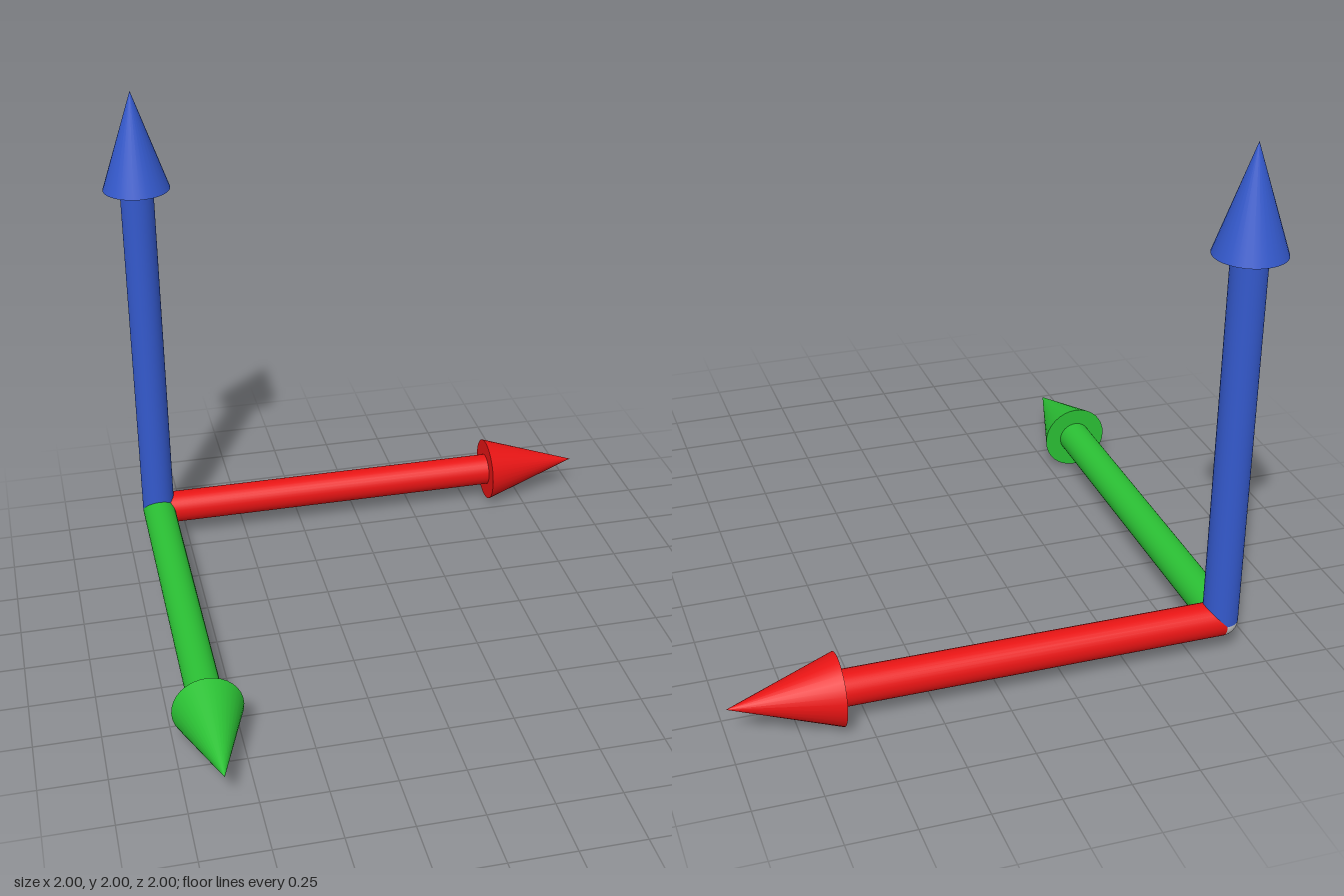
import * as THREE from 'three';

const UNIT = 2 / 15; // head radius; every other size is a multiple of it
const SHAFT_RADIUS = UNIT / 2;
const SHAFT_LENGTH = UNIT * 11;
const HEAD_LENGTH = UNIT * 3;
const SIDES = 32;

// One arrow pointing along +y from its own origin
function createArrow(name, color) {
  const arrow = new THREE.Group();
  arrow.name = name;
  const material = new THREE.MeshStandardMaterial({ color });

  const shaft = new THREE.Mesh(
    new THREE.CylinderGeometry(SHAFT_RADIUS, SHAFT_RADIUS, SHAFT_LENGTH, SIDES), material);
  shaft.name = name + 'Shaft';
  shaft.position.y = SHAFT_LENGTH / 2;

  const head = new THREE.Mesh(new THREE.ConeGeometry(UNIT, HEAD_LENGTH, SIDES), material);
  head.name = name + 'Head';
  head.position.y = SHAFT_LENGTH + HEAD_LENGTH / 2;

  arrow.add(shaft, head);
  return arrow;
}

export function createModel() {
  const model = new THREE.Group();
  model.name = 'axisArrows';

  // Three arrows meeting at the corner
  const xArrow = createArrow('xArrow', 0xe81414);
  xArrow.rotation.z = -Math.PI / 2;
  const yArrow = createArrow('yArrow', 0x3459cc);
  const zArrow = createArrow('zArrow', 0x2bc034);
  zArrow.rotation.x = Math.PI / 2;

  // Grey ball joining the shafts
  const joint = new THREE.Mesh(
    new THREE.SphereGeometry(SHAFT_RADIUS, SIDES, SIDES / 2),
    new THREE.MeshStandardMaterial({ color: 0xcccccc }));
  joint.name = 'originBall';

  const axes = new THREE.Group();
  axes.name = 'axes';
  axes.add(xArrow, yArrow, zArrow, joint);
  axes.position.set(UNIT - 1, UNIT, UNIT - 1);
  model.add(axes);
  return model;
}
